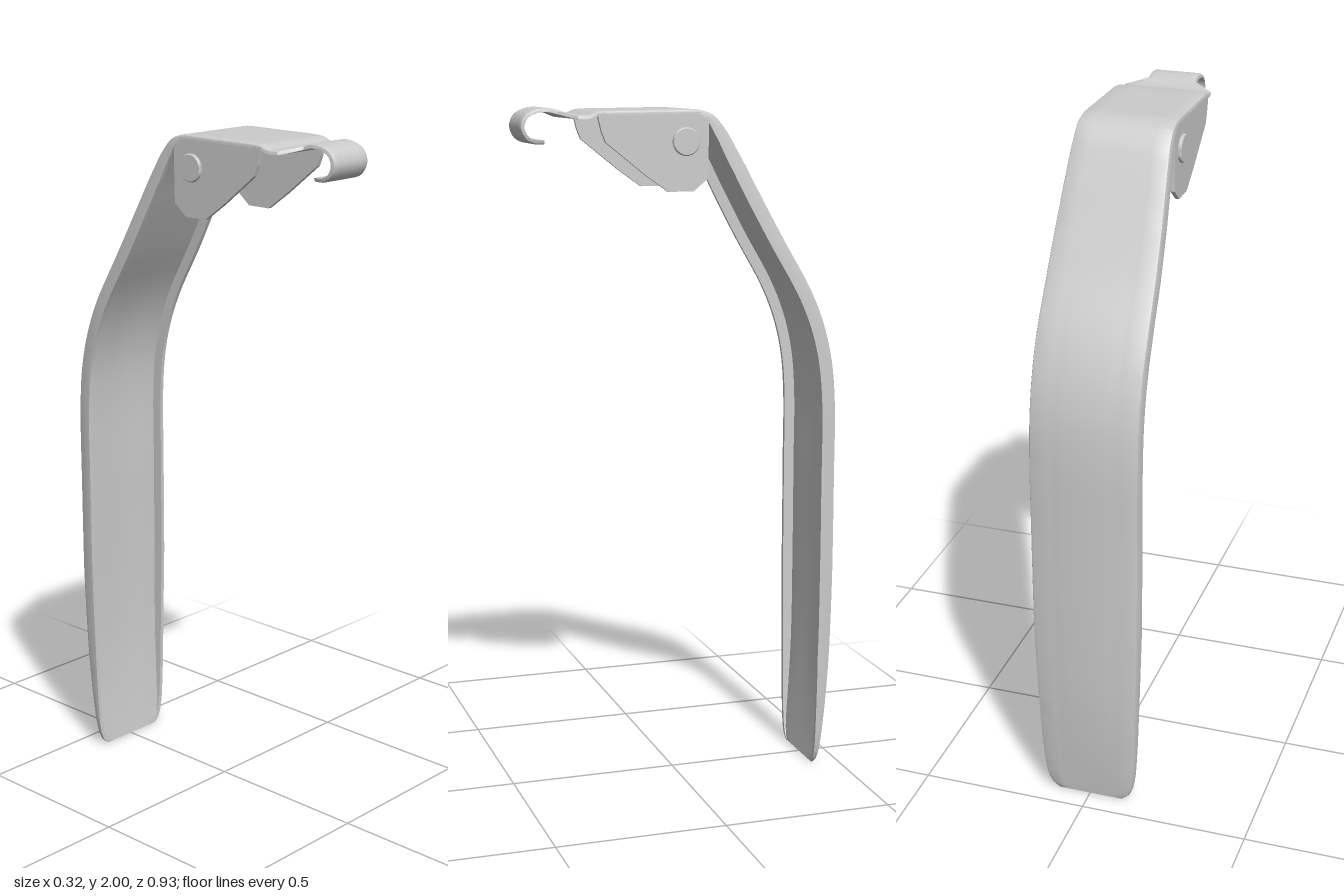
import * as THREE from 'three';
import { toCreasedNormals } from 'three/addons/utils/BufferGeometryUtils.js';

const T = 0.012; // sheet thickness
const material = new THREE.MeshStandardMaterial({ color: 0xcccccc, side: THREE.DoubleSide });

// Stations along the outer face: z, y, half width, flange depth, crown height
const hookStations = [
  [0.397, 1.899, 0.073, T, 0], [0.425, 1.9, 0.073, T, 0], [0.452, 1.914, 0.073, T, 0],
  [0.466, 1.947, 0.073, T, 0], [0.453, 1.98, 0.073, T, 0], [0.42, 1.997, 0.073, T, 0],
  [0.385, 2.0, 0.073, T, 0], [0.355, 1.993, 0.073, T, 0], [0.313, 1.981, 0.13, T, 0],
  [0.285, 1.981, 0.134, T, 0], [0.26, 1.99, 0.137, T, 0], [0.23, 1.993, 0.138, T, 0],
  [0.1, 1.994, 0.138, T, 0], [0, 1.995, 0.138, T, 0], [-0.04, 1.993, 0.138, T, 0],
];
const leverStations = [
  [-0.075, 1.982, 0.139, 0.025, 0], [-0.108, 1.95, 0.14, 0.035, 0], [-0.155, 1.873, 0.145, 0.042, 0],
  [-0.22, 1.752, 0.152, 0.044, 0], [-0.29, 1.625, 0.157, 0.044, 0.001], [-0.377, 1.474, 0.16, 0.044, 0.003],
  [-0.42, 1.37, 0.16, 0.044, 0.005], [-0.447, 1.26, 0.16, 0.044, 0.006], [-0.459, 1.13, 0.16, 0.044, 0.006],
  [-0.46, 0.9, 0.16, 0.044, 0.006], [-0.46, 0.6, 0.159, 0.044, 0.006], [-0.456, 0.35, 0.152, 0.04, 0.005],
  [-0.448, 0.2, 0.147, 0.032, 0.003], [-0.439, 0.09, 0.141, 0.023, 0.001], [-0.434, 0.04, 0.133, 0.018, 0],
  [-0.431, 0.015, 0.122, 0.015, 0], [-0.429, 0, 0.105, T, 0],
];

// Channel section as [x, offset from outer face], outer side first
function section(w, d, crown) {
  const r = Math.min(0.01, d * 0.8);
  const half = [
    [w, -d], [w, -r], [w - 0.3 * r, -0.3 * r], [w - r, 0], [w * 0.64, 0],
    [w * 0.5, crown * 0.5], [w * 0.32, crown],
  ];
  const inner = [[w - T, -d], [w - T, -T], [w * 0.64, -T], [w * 0.32, crown - T]];
  const flip = ([x, o]) => [-x, o];
  return [...half.map(flip), ...half.slice().reverse(), ...inner, ...inner.map(flip).reverse()];
}

// Sweep the folded section along a path in the side plane
function sweepStrip(stations, perSpan) {
  const path = new THREE.CatmullRomCurve3(
    stations.map(([z, y]) => new THREE.Vector3(0, y, z)), false, 'centripetal');
  const spans = stations.length - 1, steps = spans * perSpan;
  const pos = [], index = [];
  let n = 0;
  for (let i = 0; i <= steps; i++) {
    const k = Math.min(spans - 1, Math.floor(i / perSpan)), f = i / perSpan - k;
    const [w, d, crown] = [2, 3, 4].map(c => THREE.MathUtils.lerp(stations[k][c], stations[k + 1][c], f));
    const p = path.getPoint(i / steps), t = path.getTangent(i / steps);
    const ring = section(w, d, crown);
    n = ring.length;
    for (const [x, o] of ring) pos.push(x, p.y - t.z * o, p.z + t.y * o);
  }
  for (let i = 0; i < steps; i++) {
    for (let j = 0; j < n; j++) {
      const a = i * n + j, b = i * n + (j + 1) % n;
      index.push(a, b, a + n, b, b + n, a + n);
    }
  }
  // End caps
  const last = steps * n;
  for (let j = 1; j < n - 1; j++) {
    index.push(0, j + 1, j);
    index.push(last, last + j, last + j + 1);
  }
  const g = new THREE.BufferGeometry();
  g.setAttribute('position', new THREE.Float32BufferAttribute(pos, 3));
  g.setIndex(index);
  return toCreasedNormals(g, 0.6);
}

function addMesh(parent, name, geometry) {
  const mesh = new THREE.Mesh(geometry, material);
  mesh.name = name;
  parent.add(mesh);
  return mesh;
}

export function createModel() {
  const model = new THREE.Group();
  model.name = 'lever';

  // Hooked top plate runs into the first lever station
  addMesh(model, 'topPlateAndHook', sweepStrip([...hookStations, [...leverStations[0].slice(0, 3), T, 0]], 4));
  addMesh(model, 'leverArm', sweepStrip([[-0.04, 1.993, 0.138, T, 0], ...leverStations], 5));

  // Side cheek outline, drawn as (-z, y) so extrusion runs along +x after turning
  const outline = [
    [0.262, 1.985], [0.25, 1.935], [0.238, 1.905], [0.125, 1.815], [0.055, 1.765],
    [-0.02, 1.765], [-0.063, 1.8], [-0.066, 1.97], [-0.04, 1.987],
  ];
  const cheekShape = new THREE.Shape(outline.map(([z, y]) => new THREE.Vector2(-z, y)));
  const cheekGeometry = new THREE.ExtrudeGeometry(cheekShape, { depth: T, bevelEnabled: false });
  cheekGeometry.rotateY(Math.PI / 2);

  // Pivot pin head with a small rounded rim
  const pinProfile = [[0, 0], [0.04, 0], [0.04, 0.007], [0.037, 0.01], [0, 0.01]];
  const pinGeometry = toCreasedNormals(new THREE.LatheGeometry(
    pinProfile.map(([r, h]) => new THREE.Vector2(r, h)), 32), 0.6);

  for (const [side, s] of [['left', 1], ['right', -1]]) {
    addMesh(model, side + 'Cheek', cheekGeometry).position.x = s > 0 ? 0.138 - T : -0.138;
    const pin = addMesh(model, side + 'PinHead', pinGeometry);
    pin.rotation.z = -s * Math.PI / 2;
    pin.position.set(s * 0.137, 1.905, 0.003);
  }
  return model;
}
